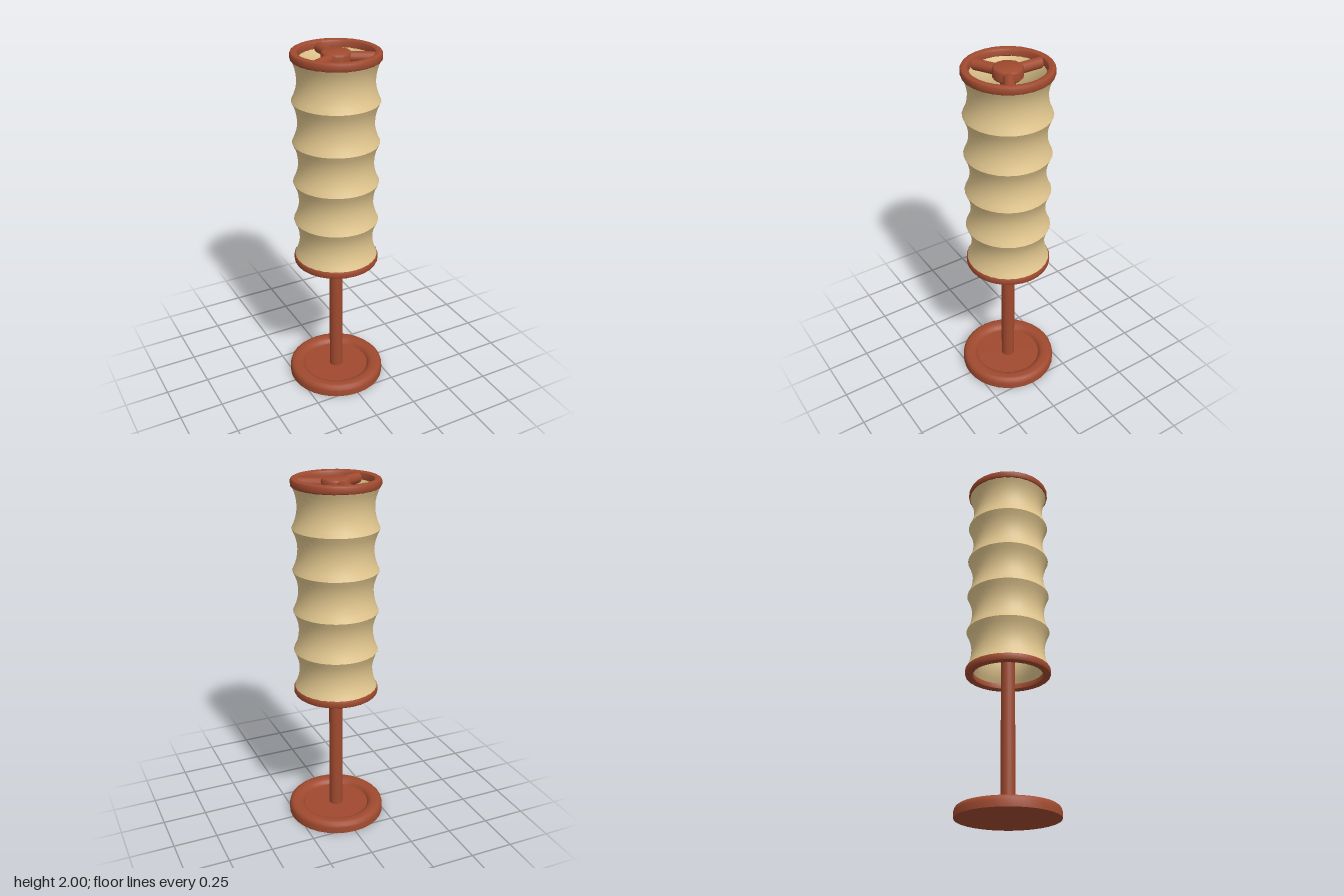
import * as THREE from 'three';
import { toCreasedNormals } from 'three/addons/utils/BufferGeometryUtils.js';

export function createModel() {
  const lamp = new THREE.Group();
  lamp.name = 'floorLamp';
  const wood = new THREE.MeshStandardMaterial({ name: 'redBrownWood', color: 0xa04a2f });
  const paper = new THREE.MeshStandardMaterial({ name: 'creamPaper', color: 0xe2c78f });

  const add = (name, geometry, material, parent = lamp) => {
    const mesh = new THREE.Mesh(geometry, material);
    mesh.name = name;
    parent.add(mesh);
    return mesh;
  };
  // Turned part from [radius, height] pairs, outside running upwards
  const turn = (points, sides) => toCreasedNormals(
    new THREE.LatheGeometry(points.map(([r, y]) => new THREE.Vector2(r, y)), sides), 0.6);

  // Base: flat foot with a rounded rim around a sunken disc
  add('base', turn([
    [0, 0], [0.28, 0], [0.28, 0.035], [0.276, 0.05], [0.265, 0.061], [0.25, 0.065],
    [0.225, 0.065], [0.21, 0.061], [0.198, 0.052], [0.19, 0.038], [0, 0.038],
  ], 32), wood);

  // Pole from the base up to the hub
  const pole = add('pole', new THREE.CylinderGeometry(0.039, 0.039, 1.93, 20), wood);
  pole.position.y = 1.0;

  // Shade: five pinched bands, with an inner wall following the outer one
  const bottom = 0.82, top = 1.965, bands = 5, steps = 8, wall = 0.036;
  const outer = [];
  for (let i = 0; i <= bands * steps; i++) {
    const t = (i % steps) / steps;
    const pinch = 0.03 * 4 * t * (1 - t);
    outer.push([0.235 - pinch, bottom + (top - bottom) * i / (bands * steps)]);
  }
  const inner = outer.map(([r, y]) => [r - wall, y]).reverse();
  add('shade', turn([...outer, ...inner, outer[0]], 32), paper);

  // Rounded hoops closing both ends of the shade
  const hoop = turn([
    [0.195, 0.006], [0.203, 0], [0.229, 0], [0.235, 0.004], [0.238, 0.012],
    [0.238, 0.032], [0.234, 0.041], [0.225, 0.046], [0.211, 0.046],
    [0.201, 0.041], [0.195, 0.03], [0.195, 0.006],
  ], 28);
  for (const [name, y] of [['bottomHoop', 0.785], ['topHoop', 1.954]]) {
    add(name, hoop, wood).position.y = y;
  }

  // Hub and three round spokes carrying the shade
  const spider = new THREE.Group();
  spider.name = 'spider';
  spider.position.y = 1.965;
  lamp.add(spider);
  add('hub', turn([
    [0, -0.032], [0.07, -0.032], [0.08, -0.022], [0.08, 0.018], [0.075, 0.028], [0.064, 0.033], [0, 0.033],
  ], 14), wood, spider);
  const spokeGeometry = new THREE.CylinderGeometry(0.029, 0.029, 0.17, 16);
  spokeGeometry.rotateX(Math.PI / 2).translate(0, 0, -0.115);
  for (let i = 0; i < 3; i++) {
    add('spoke' + (i + 1), spokeGeometry, wood, spider).rotation.y = i * Math.PI * 2 / 3;
  }
  return lamp;
}
